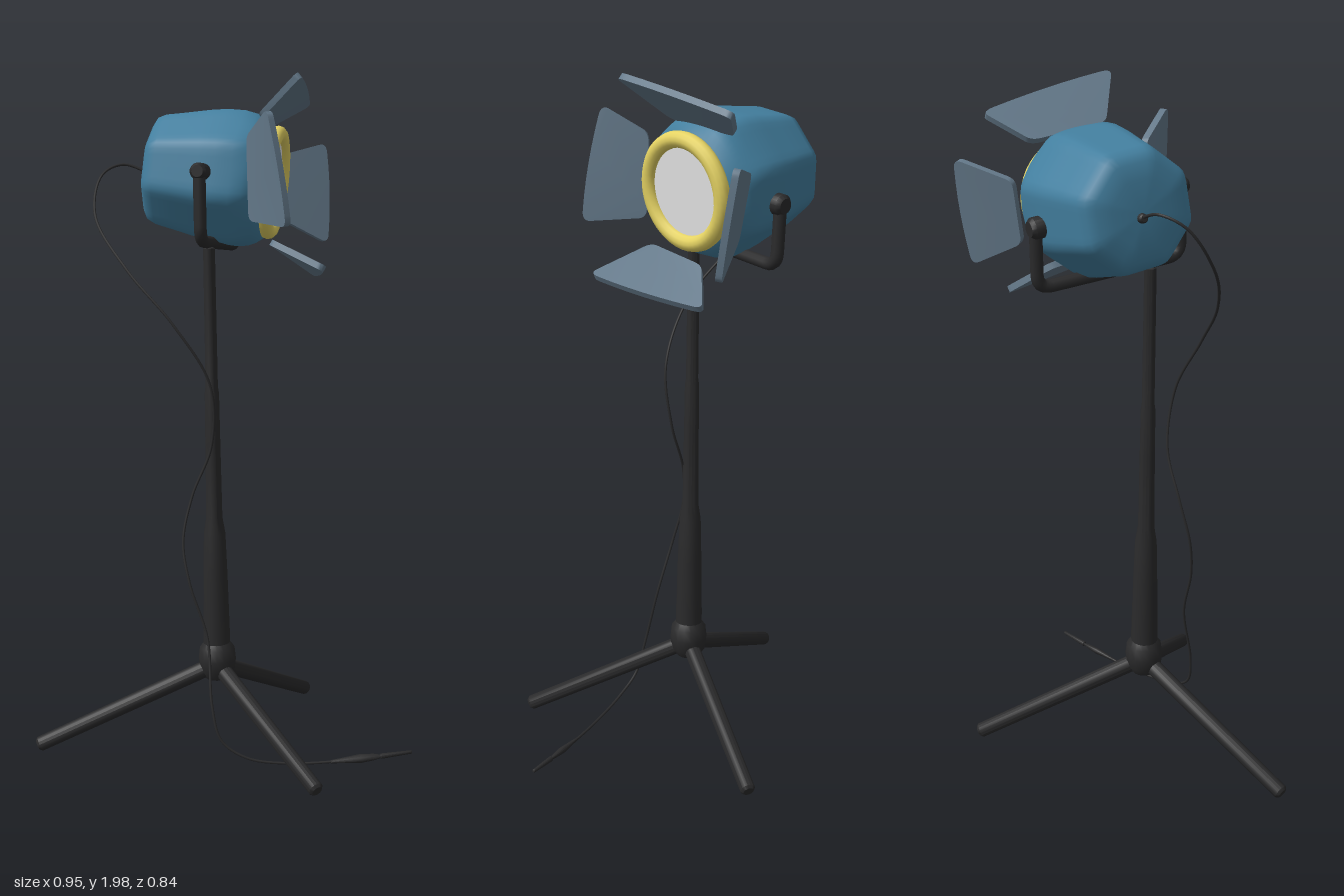
import * as THREE from 'three';
import { mergeVertices, toCreasedNormals } from 'three/addons/utils/BufferGeometryUtils.js';

const V = (x, y, z) => new THREE.Vector3(x, y, z);

export function createModel() {
  const model = new THREE.Group();
  model.name = 'studioLamp';
  const mat = (name, color) => {
    const m = new THREE.MeshStandardMaterial({ color });
    m.name = name;
    return m;
  };
  const black = mat('black', 0x2a2a2b);
  const blue = mat('blue', 0x437f9f);
  const slate = mat('slate', 0x64798a);
  const yellow = mat('yellow', 0xe5d363);
  const glass = mat('glassGrey', 0xeaeaea);

  const add = (name, geometry, material, parent = model) => {
    const mesh = new THREE.Mesh(geometry, material);
    mesh.name = name;
    parent.add(mesh);
    return mesh;
  };

  // Round body from a [radius, height] profile, laid along a to b
  const turned = (name, a, b, profile) => {
    const pts = profile.map(([r, y]) => new THREE.Vector2(r, y));
    const geo = toCreasedNormals(new THREE.LatheGeometry(pts, 16), 0.7);
    const mesh = add(name, geo, black);
    mesh.position.copy(a);
    mesh.quaternion.setFromUnitVectors(V(0, 1, 0), b.clone().sub(a).normalize());
    return mesh;
  };
  const rod = (name, a, b, r1, r2 = r1) => {
    const l = a.distanceTo(b);
    return turned(name, a, b, [[0, 0], [r1 * 0.7, 0], [r1, r1 * 0.35],
      [r2, l - r2 * 0.35], [r2 * 0.7, l], [0, l]]);
  };

  // Tripod: telescopic pole, hub and three legs
  turned('pole', V(-0.032, 0.24, -0.08), V(-0.049, 1.52, -0.092), [
    [0, 0], [0.04, 0], [0.04, 0.12], [0.036, 0.3], [0.032, 0.43], [0.024, 0.48],
    [0.022, 0.7], [0.021, 0.85], [0.018, 0.87], [0.017, 1.27], [0, 1.28]]);
  turned('hub', V(-0.032, 0.225, -0.08), V(-0.033, 1, -0.08), [
    [0, 0], [0.035, 0], [0.052, 0.025], [0.056, 0.06], [0.052, 0.095], [0.036, 0.115], [0, 0.115]]);
  for (const [x, z] of [[-0.465, -0.403], [0.466, -0.184], [-0.116, 0.41]]) {
    rod('leg', V(-0.032, 0.268, -0.08), V(x, 0.038, z), 0.025, 0.022);
  }

  // U-shaped yoke with pivot knobs
  const yoke = new THREE.CurvePath();
  const corners = [V(-0.125, 1.74, -0.05), V(-0.125, 1.535, -0.045), V(0.232, 1.5, -0.275), V(0.232, 1.675, -0.282)];
  const toward = (a, b, d) => b.clone().sub(a).setLength(d).add(a);
  let last = corners[0];
  for (let i = 1; i < 3; i++) {
    const p = toward(corners[i], corners[i - 1], 0.04), q = toward(corners[i], corners[i + 1], 0.04);
    yoke.add(new THREE.LineCurve3(last, p));
    yoke.add(new THREE.QuadraticBezierCurve3(p, corners[i], q));
    last = q;
  }
  yoke.add(new THREE.LineCurve3(last, corners[3]));
  add('yoke', new THREE.TubeGeometry(yoke, 70, 0.018, 10), black);
  rod('leftKnob', V(0.247, 1.665, -0.293), V(0.18, 1.672, -0.245), 0.03);
  rod('rightKnob', V(-0.142, 1.73, -0.04), V(-0.06, 1.725, -0.09), 0.024);

  // Lamp head, turned toward its left with a slight roll and looking a little down
  const head = new THREE.Group();
  head.name = 'head';
  head.position.set(0.122, 1.7, -0.091);
  head.rotation.set(0.1, 0.611, -0.12, 'YXZ');
  model.add(head);

  // Housing: lathe squeezed into a soft octagon that turns round at the front
  const profile = [[0, -0.31], [0.09, -0.306], [0.135, -0.298], [0.16, -0.284], [0.172, -0.26],
    [0.184, -0.2], [0.199, -0.13], [0.207, -0.08], [0.208, -0.03], [0.2, 0.005], [0.185, 0.03],
    [0.166, 0.052], [0.14, 0.058], [0, 0.058]];
  let housing = new THREE.LatheGeometry(profile.map(([r, y]) => new THREE.Vector2(r, y)), 64);
  housing.rotateX(Math.PI / 2);
  const hp = housing.attributes.position;
  for (let i = 0; i < hp.count; i++) {
    const x = hp.getX(i), y = hp.getY(i), z = hp.getZ(i);
    const step = Math.PI / 4;
    const a = Math.atan2(y, x);
    const off = a - Math.round(a / step) * step;
    const octagon = Math.min(Math.cos(step / 2) / Math.cos(off), 0.985);
    const k = THREE.MathUtils.lerp(octagon, 0.98, THREE.MathUtils.smoothstep(z, -0.03, 0.05));
    hp.setXY(i, x * k, y * k);
  }
  housing.deleteAttribute('uv');
  housing.deleteAttribute('normal');
  housing = mergeVertices(housing);
  housing.computeVertexNormals();
  add('housing', housing, blue, head);

  // Lens and its rim
  add('lensRim', new THREE.TorusGeometry(0.141, 0.023, 12, 48), yellow, head).position.z = 0.065;
  add('lens', new THREE.CircleGeometry(0.138, 48), glass, head).position.z = 0.068;

  // Barn door: rounded outline mapped onto inner corners a, b and outer corners c, d
  const barnDoor = (name, a, b, c, d) => {
    const s = new THREE.Shape();
    s.moveTo(0.12, 0);
    s.lineTo(0.88, 0);
    s.quadraticCurveTo(1, 0, 1, 0.12);
    s.lineTo(1, 0.86);
    s.quadraticCurveTo(1, 1, 0.9, 1.01);
    s.quadraticCurveTo(0.5, 1.08, 0.1, 1.01);
    s.quadraticCurveTo(0, 1, 0, 0.86);
    s.lineTo(0, 0.12);
    s.quadraticCurveTo(0, 0, 0.12, 0);
    const geo = new THREE.ExtrudeGeometry(s, { depth: 1, bevelEnabled: false, curveSegments: 6 });
    const n = c.clone().sub(a).cross(d.clone().sub(b)).normalize();
    const p = geo.attributes.position;
    for (let i = 0; i < p.count; i++) {
      const u = p.getX(i), t = p.getY(i), w = (p.getZ(i) - 0.5) * 0.018;
      const v = a.clone().lerp(b, u).lerp(d.clone().lerp(c, u), t).addScaledVector(n, w);
      p.setXYZ(i, v.x, v.y, v.z);
    }
    add(name, toCreasedNormals(geo, 0.6), slate);
  };
  barnDoor('topDoor', V(0.08, 1.882, -0.015), V(0.258, 1.86, -0.155), V(0.396, 1.925, -0.123), V(0.082, 1.996, 0.138));
  barnDoor('bottomDoor', V(0.065, 1.53, 0.04), V(0.225, 1.502, -0.075), V(0.362, 1.417, -0.058), V(0.105, 1.46, 0.217));
  barnDoor('leftDoor', V(0.288, 1.588, -0.155), V(0.303, 1.765, -0.182), V(0.471, 1.807, -0.122), V(0.44, 1.503, -0.082));
  barnDoor('rightDoor', V(-0.015, 1.592, 0.045), V(-0.017, 1.825, 0.038), V(-0.065, 1.898, 0.165), V(-0.048, 1.58, 0.224));

  // Power cable from the back of the head to the floor
  const path = [[-0.04, 1.715, -0.34], [-0.1, 1.745, -0.405], [-0.17, 1.715, -0.42], [-0.235, 1.6, -0.375],
    [-0.24, 1.45, -0.23], [-0.19, 1.3, -0.09], [-0.115, 1.13, -0.02], [-0.095, 0.95, -0.035],
    [-0.135, 0.8, -0.075], [-0.167, 0.67, -0.08], [-0.17, 0.55, -0.05], [-0.147, 0.39, 0],
    [-0.167, 0.2, 0.04], [-0.158, 0.1, 0.07], [-0.11, 0.05, 0.125], [-0.02, 0.028, 0.195],
    [0.1, 0.024, 0.28], [0.19, 0.03, 0.345], [0.285, 0.04, 0.415]].map((p) => V(...p));
  add('cable', new THREE.TubeGeometry(new THREE.CatmullRomCurve3(path), 220, 0.004, 8), black);
  rod('cableSocket', V(-0.02, 1.71, -0.295), V(-0.058, 1.722, -0.362), 0.018, 0.012);

  // Inline switch (narrow and upright) and plug near the cable end
  turned('cableSwitch', V(0.09, 0.024, 0.273), V(0.21, 0.032, 0.36), [
    [0, 0], [0.005, 0], [0.009, 0.04], [0.014, 0.09], [0.01, 0.13], [0.005, 0.15], [0, 0.15]]).scale.x = 0.7;
  rod('plug', V(0.21, 0.032, 0.36), V(0.287, 0.04, 0.416), 0.008, 0.005);

  return model;
}
